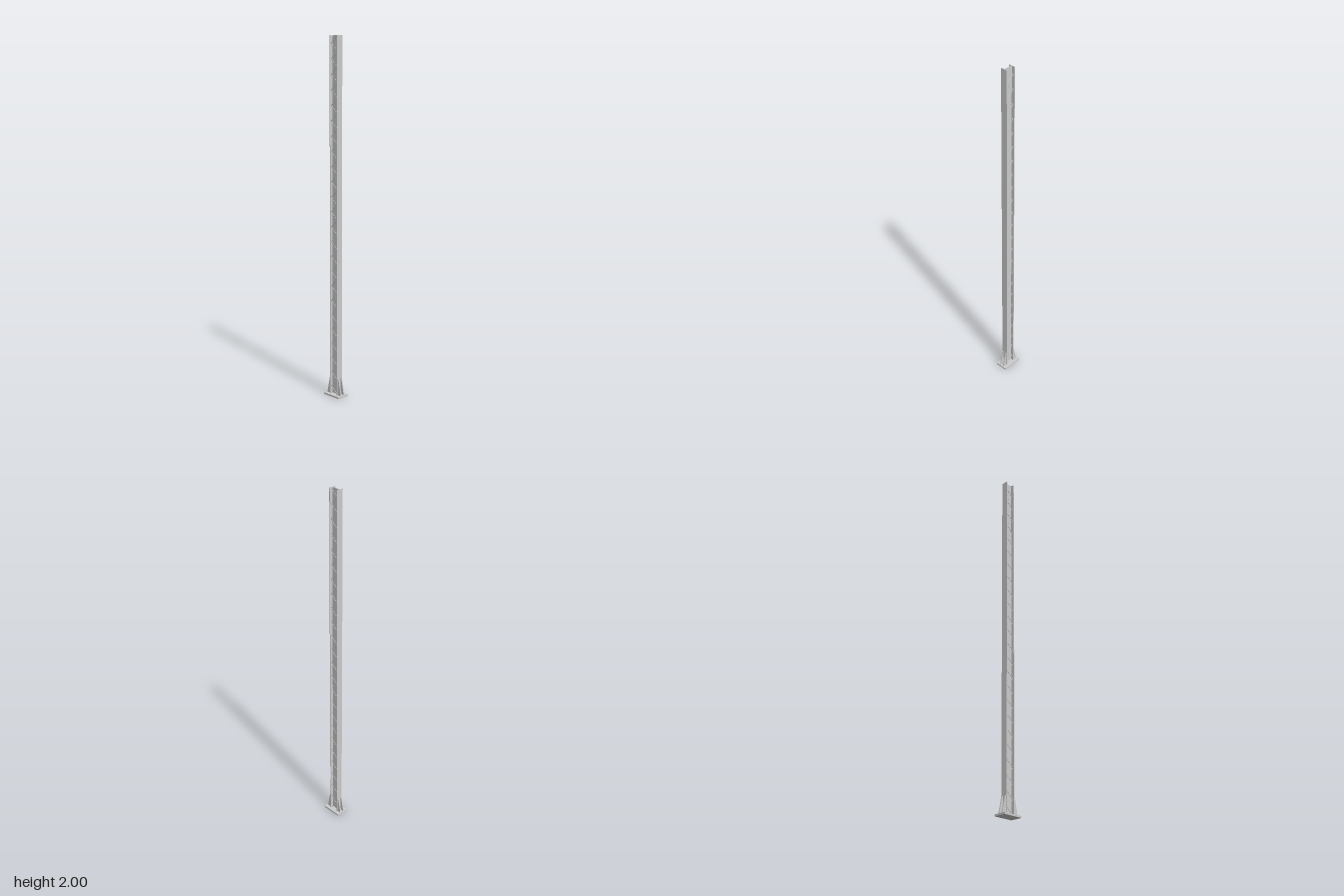
import * as THREE from 'three';

export function createModel() {
  const model = new THREE.Group();
  const steel = new THREE.MeshStandardMaterial({ color: 0xcccccc, flatShading: true });
  const add = (name, geometry, x = 0, y = 0, z = 0, parent = model) => {
    const mesh = new THREE.Mesh(geometry, steel);
    mesh.name = name;
    mesh.position.set(x, y, z);
    parent.add(mesh);
    return mesh;
  };

  const baseTop = 0.01, top = 2, height = top - baseTop, midY = (top + baseTop) / 2;
  const halfDepth = 0.029, flangeT = 0.004, inner = halfDepth - flangeT;

  // Base plate
  add('basePlate', new THREE.BoxGeometry(0.073, baseTop, 0.12), 0, baseTop / 2, 0);

  // H-section mast: web and two flanges
  add('web', new THREE.BoxGeometry(0.003, height, inner * 2), 0, midY, 0);
  for (const s of [-1, 1]) {
    add(s > 0 ? 'frontFlange' : 'backFlange',
      new THREE.BoxGeometry(0.038, height, flangeT), 0, midY, s * (halfDepth - flangeT / 2));
  }

  // Zigzag lacing across both open sides
  const bays = 48, rise = height / bays;
  const bar = new THREE.BoxGeometry(0.002, Math.hypot(rise, inner * 2), 0.0025);
  const tilt = Math.atan2(inner * 2, rise);
  for (const side of [-1, 1]) {
    const lacing = new THREE.Group();
    lacing.name = side > 0 ? 'leftLacing' : 'rightLacing';
    for (let i = 0; i < bays; i++) {
      const b = add('lacingBar', bar, side * 0.0116, baseTop + (i + 0.5) * rise, 0, lacing);
      b.rotation.x = i % 2 ? tilt : -tilt;
    }
    model.add(lacing);
  }

  // Tapered gussets, extruded across x
  const profile = new THREE.Shape([
    new THREE.Vector2(halfDepth, baseTop),
    new THREE.Vector2(0.054, baseTop),
    new THREE.Vector2(0.053, 0.02),
    new THREE.Vector2(0.034, 0.105),
    new THREE.Vector2(halfDepth, 0.105),
  ]);
  const gussetT = 0.006;
  const gusset = new THREE.ExtrudeGeometry(profile, { depth: gussetT, bevelEnabled: false });
  gusset.translate(0, 0, -gussetT / 2);

  const boltGeo = new THREE.CylinderGeometry(0.003, 0.003, 0.01, 6);
  for (const s of [-1, 1]) {
    const foot = new THREE.Group();
    foot.name = s > 0 ? 'frontFoot' : 'backFoot';
    for (const x of [-0.0115, 0.0115]) {
      add('gusset', gusset, x, 0, 0, foot).rotation.y = -s * Math.PI / 2;
    }
    // Anchor bolts on a thin strip between the gussets
    add('anchorStrip', new THREE.BoxGeometry(0.017, 0.003, 0.004), 0, baseTop + 0.0015, s * 0.038, foot);
    for (const x of [-0.004, 0.004]) add('anchorBolt', boltGeo, x, baseTop + 0.005, s * 0.038, foot);
    model.add(foot);
  }
  return model;
}
